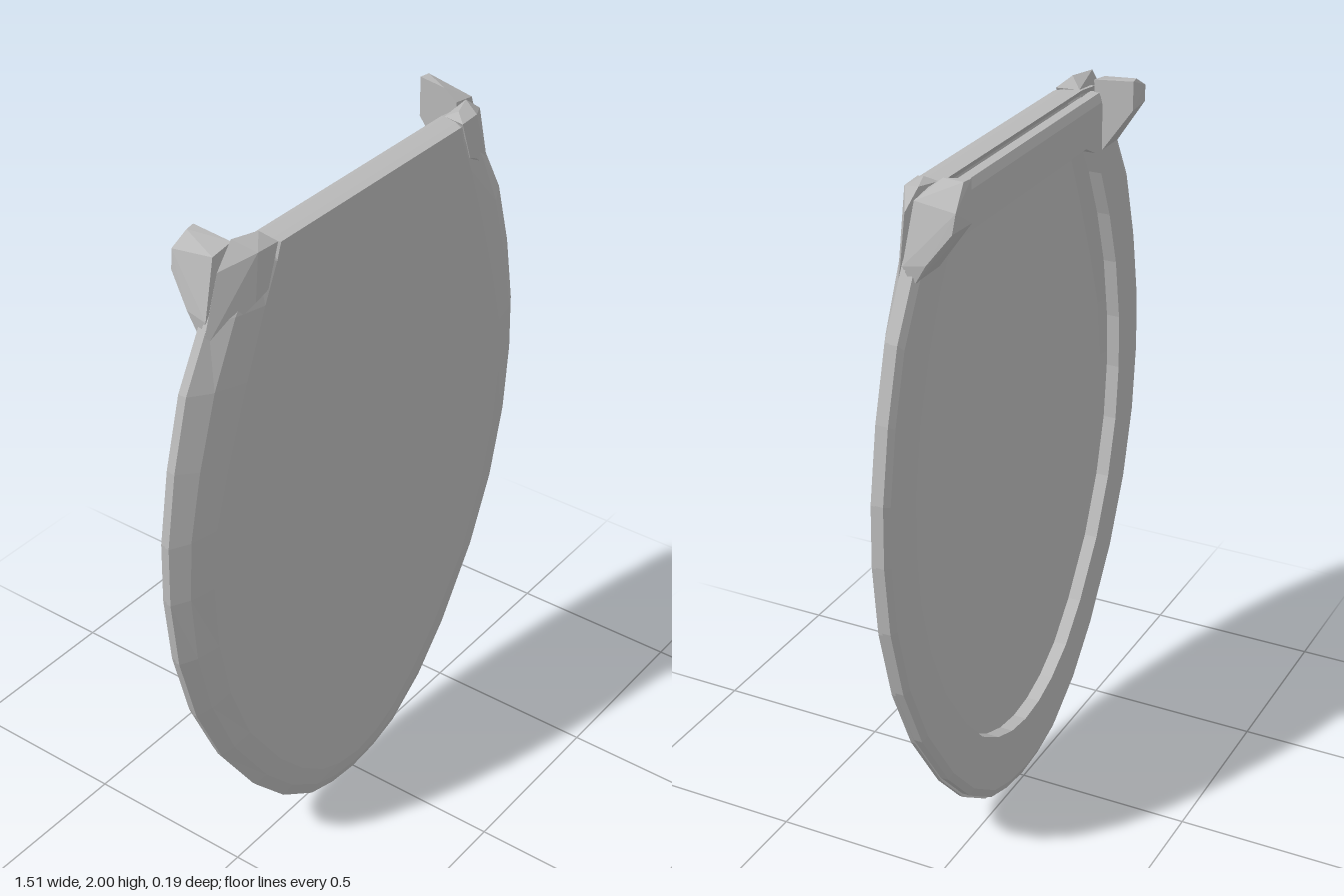
import * as THREE from 'three';
import { ConvexGeometry } from 'three/addons/geometries/ConvexGeometry.js';

// Half contours from the top centre down the +x side to the bottom centre
const OUTLINE = [[0, 1.95], [0.39, 1.95], [0.47, 1.94], [0.57, 1.8], [0.66, 1.64], [0.715, 1.45], [0.75, 1.25], [0.755, 1.08],
  [0.735, 0.88], [0.68, 0.67], [0.59, 0.47], [0.45, 0.26], [0.33, 0.13], [0.2, 0.04], [0.1, 0.01], [0, 0]];
const FACE = [[0, 1.945], [0.37, 1.945], [0.385, 1.9], [0.43, 1.8], [0.5, 1.62], [0.57, 1.42], [0.62, 1.25], [0.635, 1.08],
  [0.62, 0.88], [0.58, 0.7], [0.5, 0.5], [0.37, 0.31], [0.27, 0.2], [0.17, 0.12], [0.09, 0.085], [0, 0.07]];
const OPENING = [[0, 1.8], [0.36, 1.8], [0.42, 1.77], [0.46, 1.7], [0.52, 1.56], [0.57, 1.4], [0.6, 1.22], [0.605, 1.06],
  [0.59, 0.9], [0.545, 0.73], [0.47, 0.56], [0.36, 0.4], [0.265, 0.3], [0.17, 0.24], [0.085, 0.21], [0, 0.2]];

const faceZ = (y) => 0.05 + 0.0232 * y;

// Mirror a half contour into a closed loop; z is a rule of the height
function loop(half, z, scale = 1) {
  const left = half.slice(1, -1).reverse().map(([x, y]) => [-x, y]);
  return [...half, ...left].map(([x, y]) => {
    const sy = 1 + (y - 1) * scale;
    return new THREE.Vector3(x * scale, sy, z(sy));
  });
}

const blend = (a, b, t) => a.map(([x, y], i) => [x + (b[i][0] - x) * t, y + (b[i][1] - y) * t]);

// Skin successive loops, optionally capping the first and last
function loft(loops, capped) {
  const pts = [];
  const n = loops[0].length;
  for (let k = 0; k < loops.length - 1; k++) {
    const a = loops[k], b = loops[k + 1];
    for (let i = 0; i < n; i++) {
      const j = (i + 1) % n;
      pts.push(a[i], b[i], a[j], a[j], b[i], b[j]);
    }
  }
  if (capped) {
    const first = loops[0], last = loops[loops.length - 1];
    const mid = (l) => new THREE.Vector3(0, 1, (l[0].z + l[n / 2].z) / 2);
    for (let i = 0; i < n; i++) {
      const j = (i + 1) % n;
      pts.push(mid(first), first[i], first[j], mid(last), last[j], last[i]);
    }
  }
  const g = new THREE.BufferGeometry().setFromPoints(pts);
  g.computeVertexNormals();
  return g;
}

const hull = (points, side) =>
  new ConvexGeometry(points.map(([x, y, z]) => new THREE.Vector3(x * side, y, z)));

export function createModel() {
  const group = new THREE.Group();
  const grey = new THREE.MeshStandardMaterial({ color: 0xb8b8b8, flatShading: true });
  grey.name = 'grey plastic';
  const add = (name, geometry) => {
    const mesh = new THREE.Mesh(geometry, grey);
    mesh.name = name;
    group.add(mesh);
  };

  // Lid: thin dished shell with a bevelled rim, thicker towards the hinges
  add('lid', loft([
    loop(FACE, (y) => faceZ(y) - 0.012, 0.985),
    loop(OUTLINE, () => 0.034, 0.98),
    loop(OUTLINE, () => 0.022),
    loop(OUTLINE, () => 0.034),
    loop(blend(OUTLINE, FACE, 0.4), (y) => 0.034 + (faceZ(y) - 0.034) * 0.62),
    loop(FACE, faceZ),
  ], true));

  // Seat ring: flat back, bevelled outer edge, open middle
  const seatOutline = OUTLINE.map(([x, y]) => [x, Math.min(y, 1.935)]);
  const ring = [
    loop(OPENING, () => 0.032),
    loop(OPENING, () => -0.006),
    loop(seatOutline, () => -0.006, 0.965),
    loop(seatOutline, () => 0.004, 0.99),
    loop(seatOutline, () => 0.032, 0.99),
  ];
  add('seatRing', loft([...ring, ring[0]], false));

  // Hinge lugs reaching backwards, with the moulded corners in front of them
  const lug = (peak) => [
    [0.46, peak, -0.095], [0.49, peak, -0.09], [0.54, 1.94, -0.095], [0.55, 1.89, -0.09], [0.46, 1.89, -0.095],
    [0.46, 1.8, -0.03], [0.57, 1.81, -0.03], [0.57, 1.75, 0.005], [0.46, 1.75, 0.005],
    [0.46, 1.96, 0.02], [0.53, 1.95, 0.02], [0.575, 1.8, 0.03], [0.46, peak - 0.01, -0.02],
  ];
  const corner = (rise) => [
    [0.38, 1.95, 0.094], [0.45, 1.95, 0.09], [0.41, 1.96 + rise, 0.06], [0.48, 1.96 + rise, 0.035],
    [0.54, 1.92, 0.04], [0.575, 1.8, 0.035], [0.6, 1.72, 0.034], [0.46, 1.82, 0.088],
    [0.42, 1.84, 0.094], [0.39, 1.95, 0.03], [0.45, 1.8, 0.03],
  ];
  add('leftHinge', hull(lug(2.0), 1));
  add('rightHinge', hull(lug(1.97), -1));
  add('leftHingeCorner', hull(corner(0.005), 1));
  add('rightHingeCorner', hull(corner(0.02), -1));

  return group;
}
